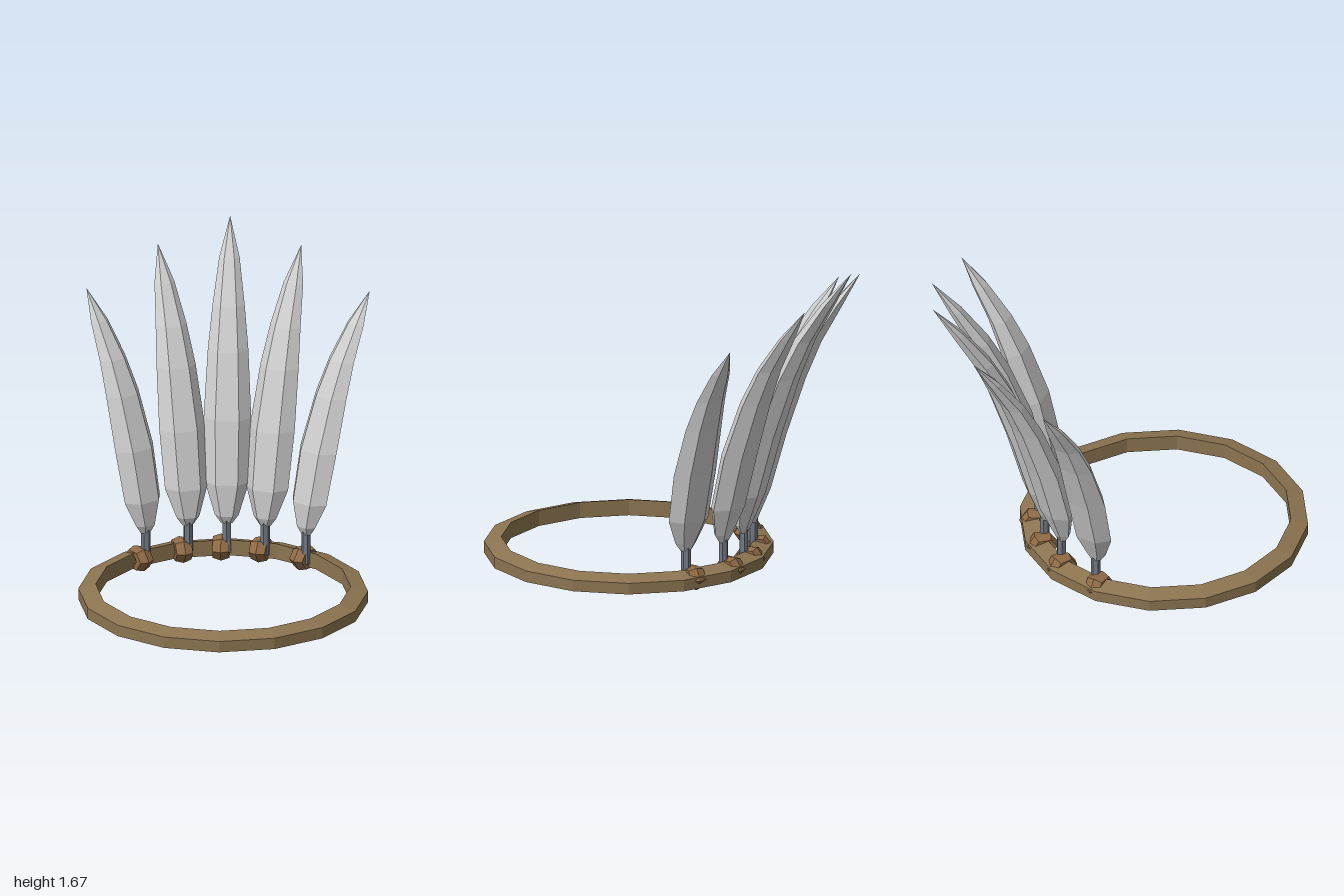
import * as THREE from 'three';

const material = (color) => new THREE.MeshStandardMaterial({ color, flatShading: true });
const bandMat = material(0x8c7450);
const wrapMat = material(0x8f6a45);
const quillMat = material(0x737a85);
const featherMat = material(0xcccccc);
featherMat.side = THREE.DoubleSide;

function addMesh(parent, name, geometry, mat) {
  const mesh = new THREE.Mesh(geometry, mat);
  mesh.name = name;
  parent.add(mesh);
  return mesh;
}

// Six-sided blade that curves outward (-z): [height, backward offset, half width]
const BASE = 0.21;
const SECTIONS = [
  [0, 0, 0], [0, 0, 0.03], [0.045, 0, 0.062], [0.215, 0.035, 0.115], [0.54, 0.12, 0.123],
  [0.87, 0.24, 0.105], [1.08, 0.34, 0.083], [1.29, 0.475, 0.053], [1.47, 0.605, 0],
];

function featherGeometry(scale) {
  const sides = 6, positions = [], index = [];
  SECTIONS.forEach(([y, back, r], s) => {
    // the base keeps its size, the rest shortens
    const k = s < 3 ? 1 : scale;
    for (let i = 0; i < sides; i++) {
      const a = (i / sides) * Math.PI * 2;
      positions.push(r * Math.cos(a), BASE + y * k, -back * k + r * 0.65 * Math.sin(a));
      if (s === 0) continue;
      const j = (i + 1) % sides, lo = (s - 1) * sides, hi = s * sides;
      index.push(lo + i, hi + i, lo + j, lo + j, hi + i, hi + j);
    }
  });
  const geo = new THREE.BufferGeometry();
  geo.setAttribute('position', new THREE.Float32BufferAttribute(positions, 3));
  geo.setIndex(index);
  const flat = geo.toNonIndexed();
  flat.computeVertexNormals();
  return flat;
}

export function createModel() {
  const model = new THREE.Group();
  model.name = 'featherHeadband';

  // Head band with a sloping top
  const profile = [[0.66, 0.025], [0.75, 0.025], [0.75, 0.085], [0.66, 0.11], [0.66, 0.025]]
    .map(([r, y]) => new THREE.Vector2(r, y));
  addMesh(model, 'headBand', new THREE.LatheGeometry(profile, 16), bandMat).position.z = 0.25;

  // Five feathers fanned across the back, each tied on with a wrap
  const wrapGeo = new THREE.TorusGeometry(0.6, 0.4, 6, 6);
  wrapGeo.rotateY(Math.PI / 2);
  wrapGeo.scale(0.125, 0.068, 0.085);
  const quillGeo = new THREE.CylinderGeometry(0.025, 0.025, 0.2, 6);

  [[-40, 0.82], [-18, 0.92], [0, 1], [18, 0.92], [40, 0.82]].forEach(([degrees, scale]) => {
    const feather = new THREE.Group();
    feather.name = 'feather';
    feather.position.z = 0.25;
    feather.rotation.y = -THREE.MathUtils.degToRad(degrees);
    model.add(feather);

    addMesh(feather, 'wrap', wrapGeo, wrapMat).position.set(-0.03, 0.067, -0.665);
    addMesh(feather, 'quill', quillGeo, quillMat).position.set(0, 0.15, -0.645);
    addMesh(feather, 'vane', featherGeometry(scale), featherMat).position.z = -0.645;
  });

  return model;
}
